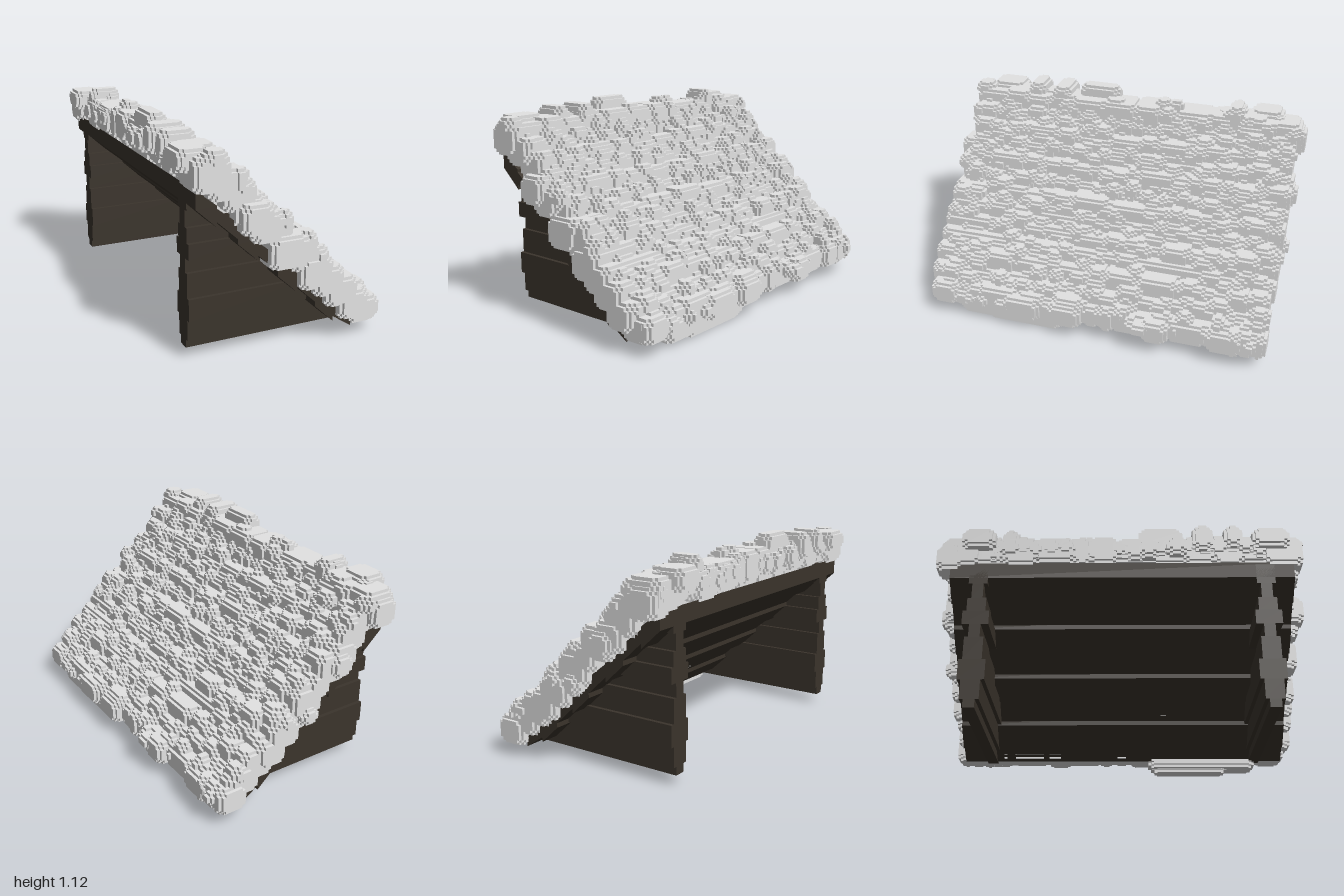
import * as THREE from 'three';
import { mergeGeometries } from 'three/addons/utils/BufferGeometryUtils.js';

const V = 0.0165; // voxel size

// small seeded generator
function seeded(seed) {
  return () => {
    seed = (seed * 16807) % 2147483647;
    return seed / 2147483647;
  };
}

// voxel-rounded lump: overlapping boxes with different insets on each axis
const INSETS = [[0, 1, 2], [0, 2, 1], [1, 0, 2], [2, 0, 1], [1, 2, 0], [2, 1, 0], [1, 1, 1]];

function addLump(list, min, max) {
  for (const inset of INSETS) {
    const size = min.map((v, i) => max[i] - v - 2 * inset[i] * V);
    if (Math.min(...size) < 0.005) continue;
    const g = new THREE.BoxGeometry(...size);
    g.translate(...min.map((v, i) => (v + max[i]) / 2));
    list.push(g);
  }
}

// extrude an x/y outline between two z values
function prism(points, z0, z1) {
  const shape = new THREE.Shape(points.map(([x, y]) => new THREE.Vector2(x, y)));
  const g = new THREE.ExtrudeGeometry(shape, { depth: z1 - z0, bevelEnabled: false });
  g.translate(0, 0, z0);
  return g;
}

export function createModel() {
  const model = new THREE.Group();
  const stone = new THREE.MeshStandardMaterial({ name: 'pale grey', color: 0xe3e3e3 });
  const wood = new THREE.MeshStandardMaterial({ name: 'dark wood', color: 0x3b342c });

  const add = (name, parent, geometry, material) => {
    const mesh = new THREE.Mesh(geometry, material);
    mesh.name = name;
    parent.add(mesh);
  };

  // roof covering: overlapping courses of lumps from ridge to eave
  const rand = seeded(4271);
  const range = (lo, hi) => lo + (hi - lo) * rand();
  const snap = (n) => Math.round(n / V) * V;
  const covering = new THREE.Group();
  covering.name = 'roofCovering';
  model.add(covering);

  const COURSES = 13;
  for (let row = 0; row < COURSES; row++) {
    const lumps = [];
    const cx = -0.41 + row * 0.0705;
    const cy = 0.965 - row * 0.0695;
    const lump = (x, y, z, w, h, l) => {
      const a = [x - w / 2, Math.max(0.06, y - h / 2), Math.max(-0.985, z - l / 2)];
      const b = [x + w / 2, y + h / 2, Math.min(0.985, z + l / 2)];
      addLump(lumps, a.map(snap), b.map(snap));
    };

    // solid core of the course
    lump(cx, cy, 0, 0.13, 0.13, 1.87);

    // main lumps side by side, pushed in and out of the slope
    const big = row % 2 === 0;
    let z = range(-0.98, -0.95);
    while (z < 0.9) {
      let end = z + range(0.07, big ? 0.25 : 0.16);
      if (end > 0.88) end = range(0.94, 0.985);
      const out = range(-0.018, 0.014);
      const size = big ? range(0.155, 0.185) : range(0.12, 0.16);
      lump(cx + out + range(-0.012, 0.012), cy + out, (z + end) / 2, size + 0.01, size - 0.01, end - z);
      z = end - 0.02;
    }

    // small lumps crowding the exposed side
    for (let i = 0; i < 46; i++) {
      const along = range(-0.045, 0.045);
      const out = range(0.02, 0.053);
      lump(cx + out + along, cy + out - along, range(-0.94, 0.94),
        range(0.06, 0.11), range(0.06, 0.1), range(0.055, 0.14));
    }
    add('course' + (row + 1), covering, mergeGeometries(lumps), stone);
  }

  // ridge lumps that round off the top and outer edge
  const ridge = [];
  for (let z = -0.94; z < 0.93; z += 0.075) {
    const x = range(-0.47, -0.43);
    const y = range(0.97, 1.0);
    const w = range(0.05, 0.07);
    addLump(ridge, [x - w, y - 0.06, z - 0.02], [x + w, y + range(0.035, 0.06), z + range(0.06, 0.1)]);
  }
  add('ridgeLumps', covering, mergeGeometries(ridge), stone);

  // individual lumps that stand out from the courses
  const extras = [];
  const bumps = [
    [-0.48, 0.98, 0.09, -0.38, 1.12, 0.33],
    [-0.54, 0.95, 0.38, -0.34, 1.1, 0.49],
    [-0.54, 0.97, 0.55, -0.36, 1.1, 0.65],
    [-0.5, 0.97, -0.65, -0.33, 1.1, -0.56],
    [-0.56, 0.96, 0.7, -0.4, 1.07, 0.9],
    [-0.56, 0.96, -0.86, -0.4, 1.07, -0.68],
    [-0.51, 0.85, -1, -0.35, 1.0, -0.85],
    [-0.28, 0.65, 0.85, -0.12, 0.8, 1],
    [-0.25, 0.64, -1, -0.12, 0.76, -0.85],
    [-0.05, 0.43, -1, 0.06, 0.52, -0.85],
    [0.36, 0.02, 0.15, 0.52, 0.15, 0.77],
    [0.39, 0, 0.17, 0.51, 0.12, 0.61],
    [0.42, 0.07, 0.04, 0.56, 0.2, 0.23],
    [0.42, 0.07, 0.28, 0.56, 0.2, 0.5],
    [0.42, 0.07, -0.45, 0.56, 0.2, -0.3],
    [0.42, 0.07, 0.78, 0.54, 0.2, 0.94],
    [0.42, 0.07, -0.86, 0.54, 0.2, -0.65],
  ];
  for (const b of bumps) addLump(extras, b.slice(0, 3), b.slice(3));
  add('looseLumps', covering, mergeGeometries(extras), stone);

  // gable walls: horizontal planks stepping in and out
  const slopeX = (y) => 0.41 - (y - 0.055) * 0.97;
  const levels = [0.055, 0.1, 0.207, 0.32, 0.447, 0.52, 0.6, 0.675, 0.76, 0.875];
  const steps = [0, 1, 2, 1, 0, 2, 1, 0, 1];
  for (const side of [1, -1]) {
    const wall = new THREE.Group();
    wall.name = side > 0 ? 'frontGable' : 'backGable';
    steps.forEach((step, i) => {
      const [y0, y1] = [levels[i], levels[i + 1]];
      const half = 0.03 + step * 0.02;
      const outline = [[-0.49, y0], [slopeX(y0), y0], [slopeX(y1), y1], [-0.49, y1]];
      add('plank' + (i + 1), wall, prism(outline, side * 0.765 - half, side * 0.765 + half), wood);
    });
    model.add(wall);
  }

  // sloping boards under the covering
  const boards = new THREE.Group();
  boards.name = 'roofBoards';
  const lineY = (x) => 0.055 + (0.41 - x) / 1.09;
  for (let i = 0; i < 8; i++) {
    const x0 = -0.49 + i * 0.108;
    const x1 = x0 + 0.108;
    const drop = i % 2 ? 0.06 : 0.085;
    const low = (x) => Math.max(0.055, lineY(x) - drop);
    const outline = [[x0, low(x0)], [x1, low(x1)], [x1, lineY(x1) + 0.02], [x0, lineY(x0) + 0.005]];
    add('board' + (i + 1), boards, prism(outline, -0.92, 0.92), wood);
  }
  model.add(boards);

  return model;
}
